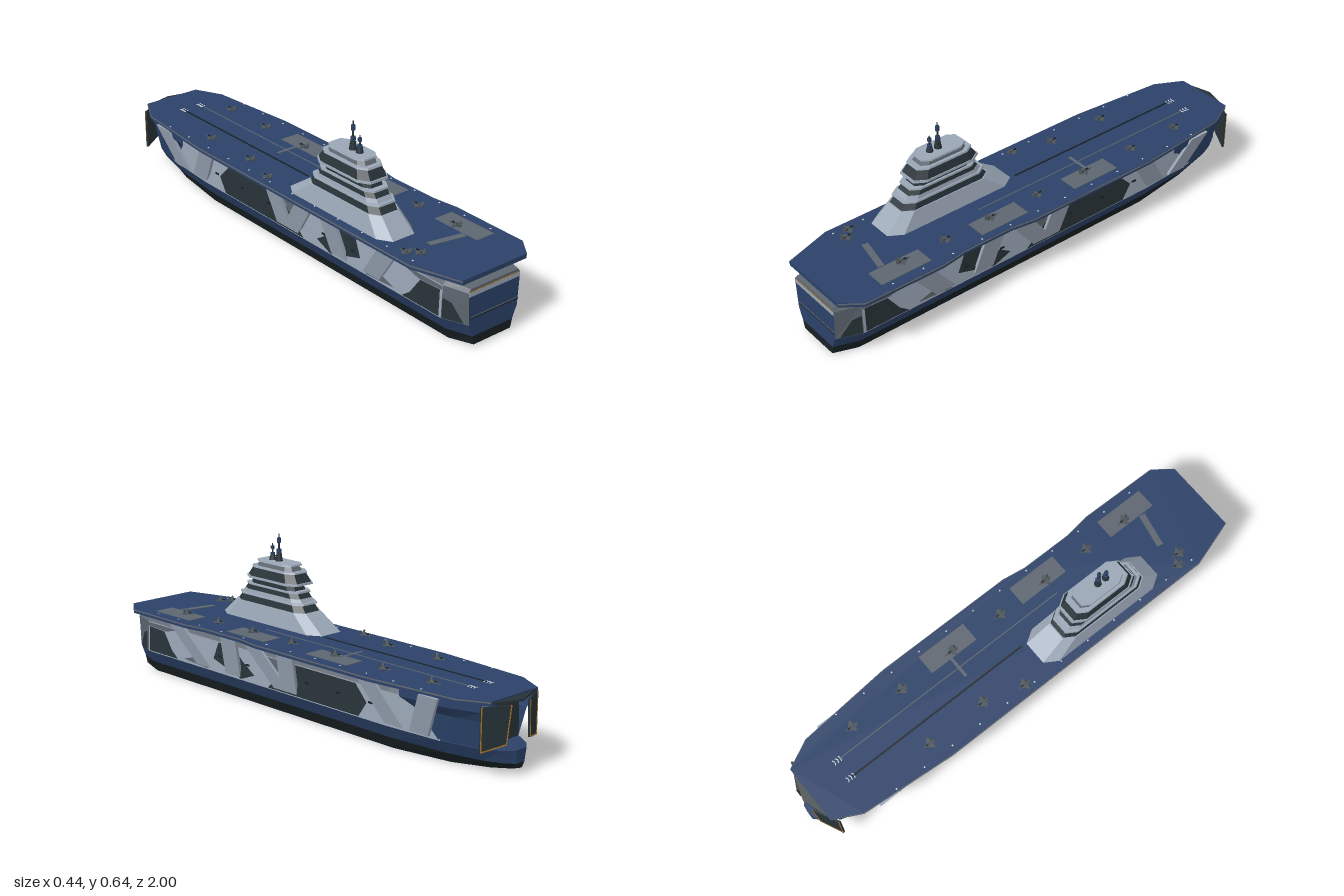
import * as THREE from 'three';
import { ConvexGeometry } from 'three/addons/geometries/ConvexGeometry.js';

const mat = (name, color) => new THREE.MeshStandardMaterial({ name, color, side: THREE.DoubleSide });

export function createModel() {
  const M = {
    blue: mat('navy blue', 0x2b4168), keel: mat('keel black', 0x182023),
    light: mat('light grey', 0x9aa6b6), mid: mat('mid grey', 0x5d656f),
    dark: mat('dark slate', 0x273338), orange: mat('orange trim', 0xa8742a),
    white: mat('marking white', 0xc4ccd6), jet: mat('aircraft grey', 0x4c555b),
  };
  const root = new THREE.Group();
  root.name = 'carrierShip';
  const add = (name, geo, m, parent = root) => {
    const mesh = new THREE.Mesh(geo, m);
    mesh.name = name;
    parent.add(mesh);
    return mesh;
  };
  const box = (name, m, w, h, d, x, y, z, parent) => {
    const b = add(name, new THREE.BoxGeometry(w, h, d), m, parent);
    b.position.set(x, y, z);
    return b;
  };
  const quads = (list) => {
    const p = [];
    for (const [a, b, c, d] of list) p.push(...a, ...b, ...c, ...a, ...c, ...d);
    const g = new THREE.BufferGeometry();
    g.setAttribute('position', new THREE.Float32BufferAttribute(p, 3));
    g.computeVertexNormals();
    return g;
  };
  const convex = (pts) => new ConvexGeometry(pts.map((p) => new THREE.Vector3(...p)));
  const shapeOf = (pts) => new THREE.Shape(pts.map((p) => new THREE.Vector2(...p)));

  // Hull stations: z, keel height, half widths at five heights
  const S = [
    [1, 0.01, 0.09, 0.098, 0.118, 0.125, 0.115], [0.9, 0, 0.115, 0.133, 0.157, 0.153, 0.14],
    [-0.5, 0, 0.115, 0.133, 0.157, 0.153, 0.14], [-0.75, 0.004, 0.085, 0.113, 0.142, 0.14, 0.13],
    [-0.9, 0.012, 0.045, 0.08, 0.108, 0.105, 0.095], [-0.97, 0.02, 0.02, 0.05, 0.066, 0, 0],
    [-1, 0.026, 0.008, 0.02, 0.03, 0, 0],
  ];
  const Y = [0, 0.045, 0.095, 0.225, 0.24];
  const pt = (i, l, s) => [s * S[i][2 + l], l ? Y[l] : S[i][1], S[i][0]];
  const band = (l, from, to) => {
    const q = [];
    for (let i = from; i < to; i++) for (const s of [1, -1]) {
      const c = [pt(i, l, s), pt(i + 1, l, s), pt(i + 1, l + 1, s), pt(i, l + 1, s)];
      q.push(s > 0 ? c : c.reverse());
    }
    return q;
  };
  const flat = (l, from, to, up) => {
    const q = [];
    for (let i = from; i < to; i++) {
      const c = [pt(i, l, -1), pt(i + 1, l, -1), pt(i + 1, l, 1), pt(i, l, 1)];
      q.push(up ? c.reverse() : c);
    }
    return q;
  };
  const cap = (i, l, stern) => {
    const c = [pt(i, l, -1), pt(i, l, 1), pt(i, l + 1, 1), pt(i, l + 1, -1)];
    return stern ? c : c.reverse();
  };
  add('hullBottom', quads([...band(0, 0, 6), ...flat(0, 0, 6, false), cap(0, 0, true), cap(6, 0, false)]), M.keel);
  add('hullBelt', quads([...band(1, 0, 6), ...flat(2, 4, 6, true), cap(6, 1, false), cap(0, 1, true), cap(0, 2, true)]), M.blue);
  add('sternQuarter', quads(band(2, 0, 1)), M.mid);
  add('hullSide', quads(band(2, 1, 3)), M.light);
  add('bowSide', quads(band(2, 3, 4)), M.blue);
  add('hullTop', quads([...band(3, 0, 4), ...flat(4, 0, 4, true), cap(0, 3, true)]), M.mid);
  add('bowOpening', quads([cap(4, 2, false), cap(4, 3, false)]), M.dark);
  box('transomHeader', M.light, 0.248, 0.017, 0.003, 0, 0.217, 0.9995);
  box('transomTrim', M.orange, 0.236, 0.003, 0.004, 0, 0.228, 0.9995);
  box('transomShelf', M.mid, 0.23, 0.004, 0.004, 0.005, 0.125, 0.999);
  box('transomShelfShade', M.keel, 0.23, 0.004, 0.004, 0.005, 0.12, 0.999);

  // Camouflage patches on the hull sides, given as z and y
  const patches = [
    [M.dark, [[0.89, 0.1], [0.7, 0.1], [0.74, 0.13], [0.79, 0.2], [0.89, 0.205]]],
    [M.dark, [[0.985, 0.1], [0.905, 0.1], [0.905, 0.18], [0.94, 0.17]]],
    [M.dark, [[0.47, 0.15], [0.3, 0.1], [0.22, 0.13], [0.3, 0.18], [0.34, 0.222], [0.44, 0.222]]],
    [M.mid, [[0.66, 0.11], [0.5, 0.1], [0.56, 0.14]]],
    [M.mid, [[0.9, 0.207], [0.78, 0.202], [0.7, 0.222], [0.9, 0.222]]],
    [M.dark, [[0.14, 0.1], [-0.36, 0.1], [-0.4, 0.16], [-0.34, 0.222], [0, 0.222], [0.06, 0.17]]],
    [M.mid, [[0.06, 0.172], [0.003, 0.222], [0.16, 0.222], [0.14, 0.18]]],
  ];
  for (const s of [1, -1]) for (const [m, pts] of patches) {
    const g = new THREE.ShapeGeometry(shapeOf(pts));
    const p = g.attributes.position;
    for (let i = 0; i < p.count; i++) {
      const z = p.getX(i), y = p.getY(i), aft = Math.max(0, z - 0.9);
      const x = 0.1595 - 0.03 * (y - 0.095) - aft * (0.39 - 0.85 * (y - 0.095)) + (aft > 0 ? 0.002 : 0);
      p.setXYZ(i, s * x, y, z);
    }
    g.computeVertexNormals();
    add('camouflagePatch', g, m);
  }

  // Flared bow walls (top z, bottom z, bottom and top half width), slanted deck struts, galleries, bow doors
  const flare = [[-0.6, -0.74, 0.143, 0.198], [-0.8, -0.84, 0.123, 0.182], [-0.935, -0.9, 0.109, 0.138]];
  const struts = [[0.66, 0.53], [0.33, 0.35], [0.19, 0.06], [0.0, 0.02], [-0.43, -0.54], [-0.74, -0.66]];
  for (const s of [1, -1]) {
    const q = [];
    const rib = ([zt, zb, wb, wt]) => [
      [s * wb, 0.1, zb], [s * (wb + (wt - wb) * 0.4), 0.2, zb + (zt - zb) * 0.6], [s * wt, 0.24, zt], [s * wt, 0.268, zt]];
    for (let i = 0; i < 2; i++) {
      const a = rib(flare[i]), b = rib(flare[i + 1]);
      for (let k = 0; k < 3; k++) {
        const c = [a[k], b[k], b[k + 1], a[k + 1]];
        q.push(s > 0 ? c : c.reverse());
      }
    }
    add('bowFlare', quads(q), M.blue);
    for (const [zt, zb] of struts) {
      const pts = [];
      for (const dz of [-0.045, 0.045]) for (const dx of [0, 0.012]) {
        pts.push([s * (0.147 + dx), 0.105, zb + dz], [s * (0.19 + dx), 0.269, zt + dz]);
      }
      add('deckStrut', convex(pts), M.light);
    }
    for (const [z0, z1] of [[0.53, 0.43], [0.39, 0.28], [-0.03, -0.16], [-0.25, -0.37], [-0.48, -0.56]]) {
      box('gallery', M.dark, 0.04, 0.028, z0 - z1, s * 0.115, 0.251, (z0 + z1) / 2);
      const n = Math.round((z0 - z1) / 0.026);
      for (let i = 0; i < n; i++) box('galleryWindow', M.blue, 0.003, 0.014, 0.014, s * 0.136, 0.254, z1 + (i + 0.5) * (z0 - z1) / n);
    }
    for (let i = 0; i < 7; i++) box('sidePort', M.keel, 0.004, 0.007, 0.02, s * 0.158, 0.165, 0.6 - i * 0.17);

    // The orange frame lies on the outer face of the door only
    const door = new THREE.Group();
    door.name = 'bowDoor';
    const panel = [[0, 0.1], [0.1, 0.12], [0.116, 0.264], [0, 0.264]];
    const frame = [[0, 0.1], [0.1, 0.12], [0.116, 0.264], [0.112, 0.264], [0.097, 0.124], [0.004, 0.105], [0.004, 0.264], [0, 0.264]];
    const ext = (pts, depth, z) => new THREE.ExtrudeGeometry(shapeOf(pts), { depth, bevelEnabled: false }).translate(0, 0, z);
    add('doorPanel', ext(panel, 0.008, -0.004), M.dark, door);
    add('doorFrame', ext(frame, 0.002, s > 0 ? 0.004 : -0.006), M.orange, door);
    door.position.set(s * 0.152, 0, -0.94);
    door.rotation.y = s > 0 ? Math.PI - 0.45 : 0.45;
    root.add(door);
  }

  // Flight deck
  const outline = [[-0.155, 1], [0.155, 1], [0.213, 0.92], [0.217, 0.58], [0.202, 0.47], [0.202, 0.25], [0.217, 0.15],
    [0.217, -0.45], [0.182, -0.85], [0.125, -0.965], [-0.125, -0.965], [-0.185, -0.85], [-0.217, -0.45], [-0.217, 0.8]];
  const slab = (k, depth, y) => new THREE.ExtrudeGeometry(shapeOf(outline.map(([x, z]) => [x * k, Math.min(z, 0.998)])), { depth, bevelEnabled: false })
    .rotateX(Math.PI / 2).translate(0, y, 0);
  add('flightDeck', slab(1, 0.018, 0.285), M.blue);
  add('deckRim', slab(1.015, 0.005, 0.283), M.mid);
  add('bowTip', convex([[-0.125, 0.28, -0.96], [0.125, 0.28, -0.96], [0, 0.275, -1], [-0.125, 0.272, -0.96], [0.125, 0.272, -0.96], [0, 0.268, -1]]), M.dark);
  const mark = (name, m, w, d, x, z) => box(name, m, w, 0.003, d, x, 0.2855, z);
  for (const z of [-0.2, 0.255, 0.71]) mark('deckElevator', M.mid, 0.085, 0.22, 0.13, z);
  mark('catapultTrack', M.keel, 0.007, 0.83, -0.045, -0.385);
  mark('catapultTrack', M.mid, 0.004, 1.08, 0.04, -0.26);
  mark('blastPlate', M.mid, 0.1, 0.012, 0.045, -0.215);
  mark('blastPlate', M.mid, 0.15, 0.026, 0.01, 0.745).rotation.y = -0.2;
  for (const x of [-0.045, 0.04]) for (let i = 0; i < 3; i++) for (const s of [1, -1])
    mark('trackChevron', M.white, 0.012, 0.004, x + s * 0.006, -0.82 + i * 0.014).rotation.y = s * 0.5;
  for (let i = 0; i < 12; i++) for (const s of [1, -1]) mark('deckLight', M.white, 0.006, 0.006, s * 0.19, -0.7 + i * 0.135);

  // Parked aircraft
  const wing = [[0, -0.028], [0.007, -0.008], [0.027, 0.012], [0.027, 0.018], [0.009, 0.019], [0.014, 0.03], [0, 0.027]];
  const wingShape = shapeOf([...wing, ...wing.slice(1, -1).reverse().map(([x, z]) => [-x, z])]);
  const wingGeo = new THREE.ExtrudeGeometry(wingShape, { depth: 0.003, bevelEnabled: false }).rotateX(Math.PI / 2);
  const bodyGeo = new THREE.CylinderGeometry(0.001, 0.006, 0.068, 6).rotateX(-Math.PI / 2);
  const spots = [[0.11, -0.69], [0.11, -0.45], [0.11, -0.2], [0.11, 0.04], [0.11, 0.27], [0.11, 0.48], [0.11, 0.68],
    [-0.13, -0.5], [-0.13, -0.24], [-0.175, -0.07], [-0.17, 0.72], [-0.135, 0.755]];
  for (const [x, z] of spots) {
    const jet = new THREE.Group();
    jet.name = 'parkedAircraft';
    add('fuselage', bodyGeo, M.jet, jet);
    add('wings', wingGeo, M.jet, jet);
    box('canopy', M.keel, 0.005, 0.005, 0.014, 0, 0.004, -0.006, jet);
    for (const s of [1, -1]) {
      box('tailFin', M.jet, 0.002, 0.017, 0.011, s * 0.009, 0.008, 0.024, jet).rotation.z = -s * 0.35;
      box('wheelLeg', M.keel, 0.003, 0.007, 0.003, s * 0.008, -0.005, 0.01, jet);
    }
    jet.position.set(x, 0.292, z);
    jet.scale.setScalar(0.9);
    root.add(jet);
  }

  // Island tower: stacked eight-sided tiers (half x, half z, centre z, height) bottom and top
  const ring = ([hx, hz, cz, y]) => {
    const c = hx * 0.4, out = [];
    for (const sx of [1, -1]) for (const sz of [1, -1])
      out.push([-0.1 + sx * hx, y, cz + sz * (hz - c * 1.6)], [-0.1 + sx * (hx - c), y, cz + sz * hz]);
    return out;
  };
  const tier = (name, m, a, b) => add(name, convex([...ring(a), ...ring(b)]), m);
  tier('islandBase', M.light, [0.085, 0.295, 0.345, 0.284], [0.068, 0.205, 0.36, 0.355]);
  tier('lowerWindows', M.dark, [0.064, 0.2, 0.36, 0.355], [0.056, 0.175, 0.36, 0.385]);
  tier('lowerLedge', M.light, [0.064, 0.19, 0.36, 0.383], [0.062, 0.187, 0.36, 0.39]);
  tier('middleWall', M.light, [0.057, 0.175, 0.36, 0.39], [0.054, 0.165, 0.36, 0.405]);
  tier('middleWindows', M.dark, [0.054, 0.163, 0.36, 0.405], [0.049, 0.145, 0.36, 0.427]);
  tier('middleLedge', M.light, [0.055, 0.155, 0.36, 0.425], [0.054, 0.153, 0.36, 0.432]);
  tier('neckWindows', M.dark, [0.046, 0.13, 0.36, 0.432], [0.042, 0.12, 0.36, 0.458]);
  tier('bridgeLedge', M.light, [0.069, 0.152, 0.352, 0.457], [0.068, 0.15, 0.352, 0.466]);
  tier('bridgeWindows', M.dark, [0.065, 0.145, 0.352, 0.466], [0.053, 0.12, 0.352, 0.503]);
  tier('bridgeRoof', M.light, [0.058, 0.128, 0.352, 0.501], [0.056, 0.124, 0.352, 0.508]);
  tier('topWall', M.mid, [0.044, 0.105, 0.352, 0.508], [0.036, 0.09, 0.352, 0.528]);
  tier('topPlatform', M.light, [0.05, 0.102, 0.352, 0.527], [0.048, 0.1, 0.352, 0.533]);

  // Masts with sensor drums
  for (const [z, top] of [[0.355, 0.645], [0.393, 0.6]]) {
    const h = top - 0.53;
    const cyl = (name, m, r0, r1, len, y) => add(name, new THREE.CylinderGeometry(r0, r1, len, 8), m).position.set(-0.1, y, z);
    cyl('mastFoot', M.dark, 0.009, 0.016, h * 0.35, 0.53 + h * 0.175);
    cyl('mastPole', M.dark, 0.002, 0.006, h, 0.53 + h / 2);
    cyl('sensorDrum', M.blue, 0.008, 0.008, h * 0.18, 0.53 + h * 0.77);
    cyl('sensorDrum', M.blue, 0.01, 0.01, h * 0.12, 0.53 + h * 0.4);
    box('mastYard', M.dark, 0.03, 0.003, 0.004, -0.1, 0.53 + h * 0.25, z);
  }
  return root;
}
